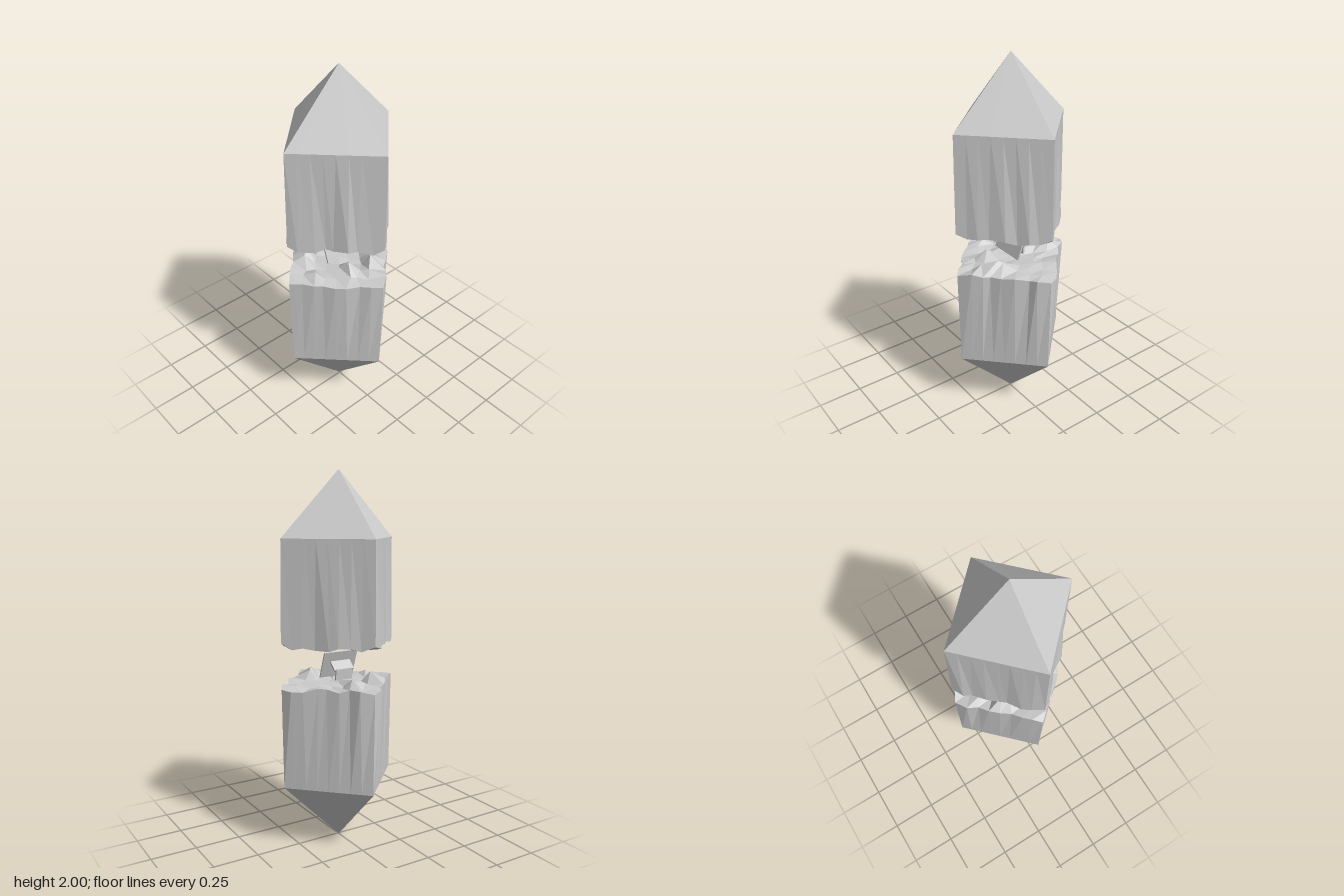
import * as THREE from 'three';

const R = 0.34, ZC = -0.007, N = 8;
const SHOULDER = 0.345, BREAK = 0.89;

function seeded(seed) {
  let s = seed;
  return () => {
    s = (s * 16807) % 2147483647;
    return s / 2147483647;
  };
}

const material = () => new THREE.MeshStandardMaterial({ color: 0xcccccc, flatShading: true });

// One crystal half with its point down; 'flip' mirrors it about y = 1
function crystalHalf(name, seed, flip, peak) {
  const rand = seeded(seed);
  const pos = [];
  const tri = (a, b, c) => {
    for (const p of flip ? [a, c, b] : [a, b, c]) pos.push(p.x, flip ? 2 - p.y : p.y, p.z);
  };
  const quad = (a, b, c, d) => { tri(a, b, c); tri(a, c, d); };
  const at = (u, v, y) => new THREE.Vector3((u - v) / 2 * R, y, (u + v) / 2 * R + ZC);

  // Jagged fracture grid in diamond coordinates, rim swelling slightly outwards
  const grid = [];
  for (let i = 0; i <= N; i++) {
    grid.push([]);
    for (let j = 0; j <= N; j++) {
      let u = -1 + 2 * i / N, v = -1 + 2 * j / N;
      const edgeU = i % N === 0, edgeV = j % N === 0;
      const a = rand(), b = rand(), c = rand();
      u += edgeU ? Math.sign(u) * (edgeV ? 0.02 : 0.12 * a) : (a - 0.5) * 0.13;
      v += edgeV ? Math.sign(v) * (edgeU ? 0.02 : 0.12 * b) : (b - 0.5) * 0.13;
      let y = BREAK;
      if (edgeU && edgeV) y -= flip ? 0.02 : 0.005;
      else if (edgeU || edgeV) y += (c - 0.4) * 0.03;
      else y += c * c * peak - 0.005;
      grid[i].push(at(u, v, y));
    }
  }
  for (let i = 0; i < N; i++) for (let j = 0; j < N; j++)
    quad(grid[i][j], grid[i][j + 1], grid[i + 1][j + 1], grid[i + 1][j]);

  // Prism walls and pyramid point, walking once around the rim
  const ring = [];
  for (let k = 0; k < N; k++) ring.push([k, 0]);
  for (let k = 0; k < N; k++) ring.push([N, k]);
  for (let k = N; k > 0; k--) ring.push([k, N]);
  for (let k = N; k > 0; k--) ring.push([0, k]);
  const tip = new THREE.Vector3(0, 0, ZC);
  const low = ([i, j]) => at(-1 + 2 * i / N, -1 + 2 * j / N, SHOULDER);
  ring.forEach((p, k) => {
    const q = ring[(k + 1) % ring.length];
    quad(grid[p[0]][p[1]], grid[q[0]][q[1]], low(q), low(p));
    tri(low(p), low(q), tip);
  });

  const geo = new THREE.BufferGeometry();
  geo.setAttribute('position', new THREE.Float32BufferAttribute(pos, 3));
  geo.computeVertexNormals();
  const mesh = new THREE.Mesh(geo, material());
  mesh.name = name;
  return mesh;
}

// Thin splinter lying in the gap
function splinter(name, size, position, rotation) {
  const mesh = new THREE.Mesh(new THREE.BoxGeometry(...size), material());
  mesh.position.set(...position);
  mesh.rotation.set(...rotation);
  mesh.name = name;
  return mesh;
}

export function createModel() {
  const group = new THREE.Group();
  group.name = 'brokenCrystal';
  group.add(crystalHalf('lowerCrystal', 4127, false, 0.07));
  group.add(crystalHalf('upperCrystal', 90731, true, 0.045));
  group.add(splinter('splinterPlate', [0.205, 0.15, 0.008], [0, 0.987, -0.005], [-0.34, 0, 0]));
  group.add(splinter('splinterFlap', [0.12, 0.06, 0.01], [0, 0.982, -0.04], [0.8, 0, 0]));
  group.add(splinter('splinterFoot', [0.1, 0.06, 0.01], [0, 0.938, -0.058], [-0.1, 0, 0]));
  return group;
}
